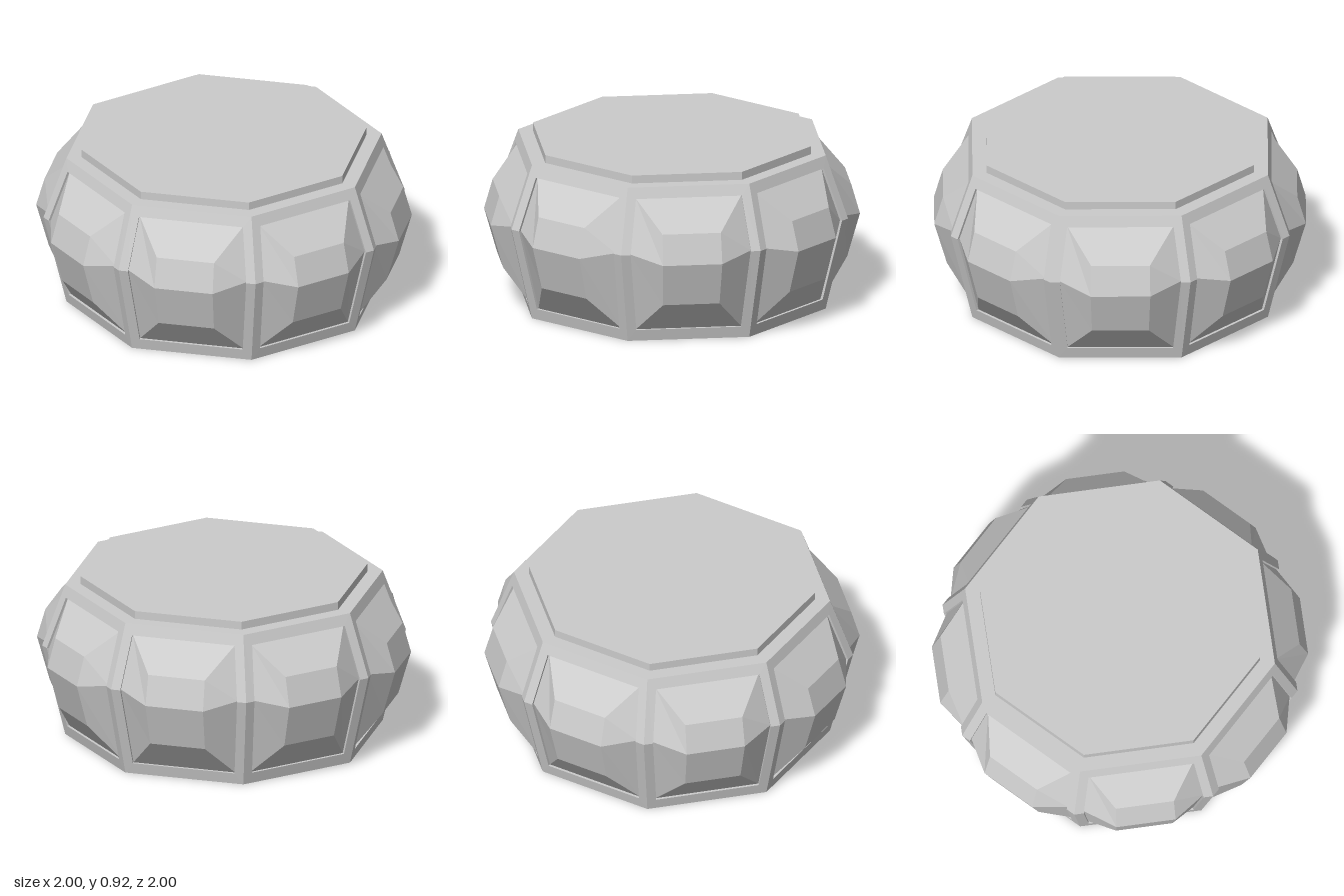
import * as THREE from 'three';

const SIDES = 8;
const HALF = Math.PI / SIDES;

// Loop of six points from three rows (top, middle, bottom) of [y, distance from axis, half width],
// counter-clockwise seen from outside
function loop(rows) {
  const left = rows.map(([y, a, h]) => [-h, y, a]);
  const right = rows.map(([y, a, h]) => [h, y, a]).reverse();
  return [...left, ...right];
}

// Row lying on the octagonal body, with corner radius r, inset from the ribs and pushed in
function bodyRow(y, r, inset = 0, depth = 0) {
  return [y, r * Math.cos(HALF) - depth, r * Math.sin(HALF) - inset];
}

function stripGeometry(loops, closed) {
  const pos = [];
  const quad = (a, b, c, d) => pos.push(...a, ...b, ...c, ...a, ...c, ...d);
  for (let k = 0; k < loops.length - 1; k++) {
    const o = loops[k], n = loops[k + 1];
    for (let i = 0; i < 6; i++) {
      const j = (i + 1) % 6;
      quad(o[i], o[j], n[j], n[i]);
    }
  }
  if (closed) {
    const [tl, ml, bl, br, mr, tr] = loops[loops.length - 1];
    quad(tl, ml, mr, tr);
    quad(ml, bl, br, mr);
  }
  const g = new THREE.BufferGeometry();
  g.setAttribute('position', new THREE.Float32BufferAttribute(pos, 3));
  g.computeVertexNormals();
  return g;
}

export function createModel() {
  const model = new THREE.Group();
  model.name = 'octagonalCushionBody';
  const material = new THREE.MeshStandardMaterial({
    color: 0xcccccc, flatShading: true, side: THREE.DoubleSide,
  });

  const outer = loop([bodyRow(0.875, 0.873), bodyRow(0.525, 1), bodyRow(0, 0.873)]);
  const insetRows = (depth) => loop([
    bodyRow(0.815, 0.895, 0.052, depth),
    bodyRow(0.525, 1, 0.052, depth),
    bodyRow(0.065, 0.889, 0.052, depth),
  ]);
  const edge = insetRows(0);
  const groove = insetRows(0.015);
  const bulge = loop([[0.65, 0.967, 0.16], [0.485, 1.014, 0.163], [0.24, 0.945, 0.155]]);

  const frameGeometry = stripGeometry([outer, edge, groove], false);
  const panelGeometry = stripGeometry([groove, bulge], true);

  // Eight sides, each a rib frame around a bulging panel
  for (let i = 0; i < SIDES; i++) {
    const side = new THREE.Group();
    side.name = `side${i + 1}`;
    const frame = new THREE.Mesh(frameGeometry, material);
    frame.name = 'ribFrame';
    const panel = new THREE.Mesh(panelGeometry, material);
    panel.name = 'bulgingPanel';
    side.add(frame, panel);
    side.rotation.y = HALF * (2 * i + 1);
    model.add(side);
  }

  // Top rim and raised lid in one stepped profile; the underside stays open
  const profile = [[0.873, 0.875], [0.79, 0.875], [0.79, 0.92], [0, 0.92]];
  const lid = new THREE.Mesh(
    new THREE.LatheGeometry(profile.map(([x, y]) => new THREE.Vector2(x, y)), SIDES),
    material,
  );
  lid.name = 'steppedLid';
  model.add(lid);

  return model;
}
